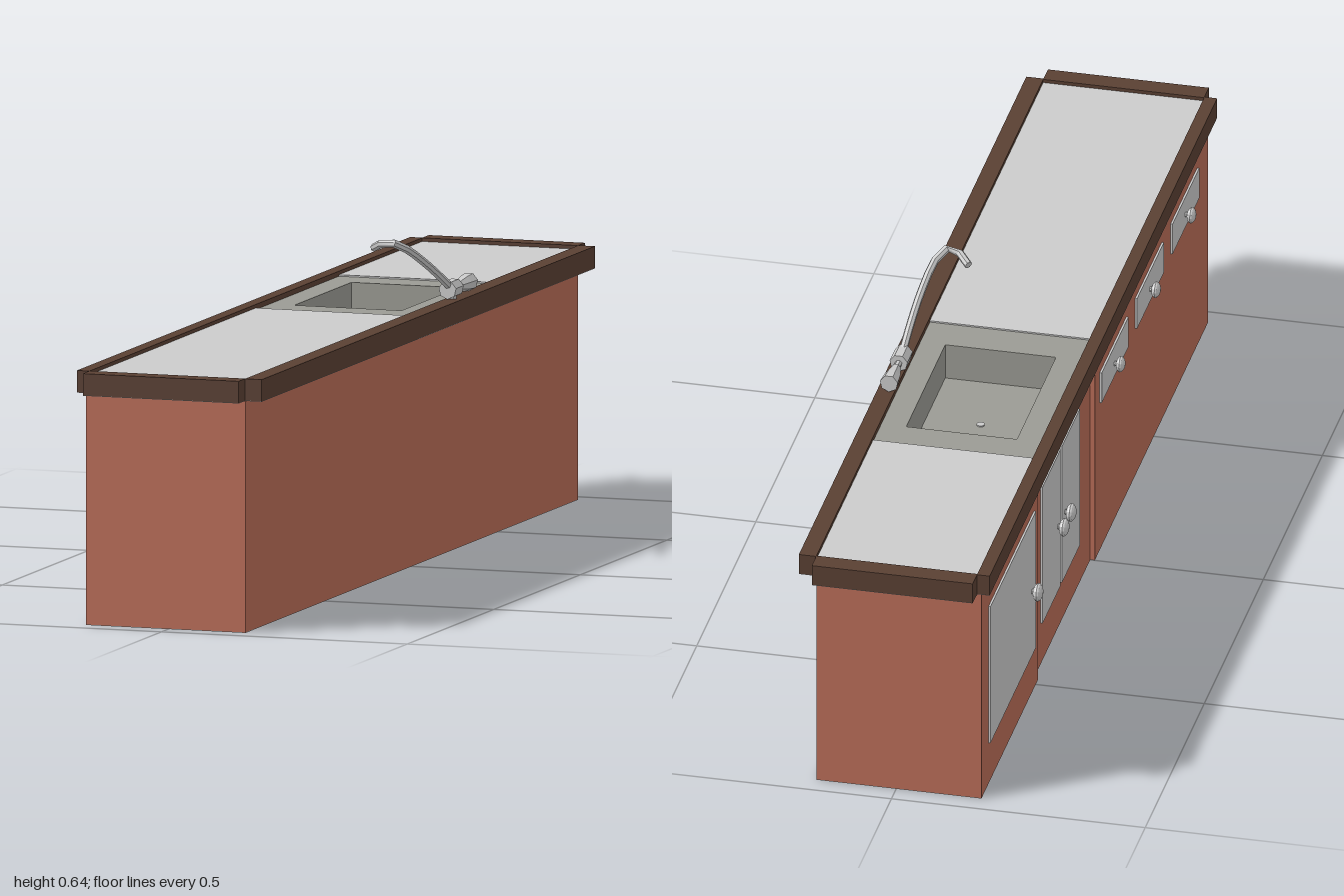
import * as THREE from 'three';

const material = (color) => new THREE.MeshStandardMaterial({ color, flatShading: true });

export function createModel() {
  const model = new THREE.Group();
  const grey = material(0xcccccc);
  const wood = material(0xba6d58);
  const trim = material(0x5a4033);
  const steel = material(0x9b9b94);

  const add = (name, geometry, mat, parent = model) => {
    const mesh = new THREE.Mesh(geometry, mat);
    mesh.name = name;
    parent.add(mesh);
    return mesh;
  };

  // Box given by its limits on each axis
  const box = (name, [x0, x1], [y0, y1], [z0, z1], mat) => {
    const mesh = add(name, new THREE.BoxGeometry(x1 - x0, y1 - y0, z1 - z0), mat);
    mesh.position.set((x0 + x1) / 2, (y0 + y1) / 2, (z0 + z1) / 2);
    return mesh;
  };

  // Upright block with a rectangular opening through it
  const frame = (name, [x0, x1], [y0, y1], [z0, z1], [hx0, hx1], [hz0, hz1], mat) => {
    const rectangle = (Type, a, b, c, d) => {
      const path = new Type();
      path.moveTo(a, -d);
      path.lineTo(b, -d);
      path.lineTo(b, -c);
      path.lineTo(a, -c);
      path.closePath();
      return path;
    };
    const shape = rectangle(THREE.Shape, x0, x1, z0, z1);
    shape.holes.push(rectangle(THREE.Path, hx0, hx1, hz0, hz1));
    const geometry = new THREE.ExtrudeGeometry(shape, { depth: y1 - y0, bevelEnabled: false });
    geometry.rotateX(-Math.PI / 2);
    const mesh = add(name, geometry, mat);
    mesh.position.y = y0;
    return mesh;
  };

  // Cabinet: two full sections and a slightly recessed one under the sink
  const front = -0.168, back = 0.157, recess = 0.009;
  const sinkZ = [-0.48, 0];
  box('rearCabinet', [front, back], [0.001, 0.45], [-0.96, -0.48], wood);
  box('frontCabinet', [front, back], [0.001, 0.45], [0, 0.96], wood);
  frame('sinkCabinet', [front + recess, back], [0.001, 0.45], sinkZ, [-0.115, 0.115], [-0.415, -0.075], wood);
  box('rearCabinetBase', [front, back], [0, 0.001], [-0.96, -0.48], grey);
  box('sinkCabinetBase', [front + recess, back], [0, 0.001], sinkZ, grey);
  box('frontCabinetBase', [front, back], [0, 0.001], [0, 0.96], grey);

  // Worktop with a sunken surface inside the rim
  box('rearWorktop', [-0.16, 0.157], [0.45, 0.486], [-0.96, -0.48], grey);
  box('frontWorktop', [-0.16, 0.157], [0.45, 0.486], [0, 0.96], grey);

  // Rim strips with pale undersides
  const rim = (name, x, z) => {
    box(name, x, [0.451, 0.493], z, trim);
    box(name + 'Underside', x, [0.45, 0.451], z, grey);
  };
  rim('doorSideRim', [-0.185, -0.16], [-0.963, 0.963]);
  rim('wallSideRim', [0.157, 0.191], [-0.963, 0.963]);
  rim('rearRim', [-0.16, 0.157], [-1, -0.96]);
  rim('frontRim', [-0.16, 0.157], [0.96, 1]);

  // Sink plate, basin walls, floor and drain
  const basinX = [-0.11, 0.108], basinZ = [-0.41, -0.08];
  frame('sinkPlate', [-0.16, 0.157], [0.45, 0.483], sinkZ, basinX, basinZ, steel);
  frame('basinWalls', [-0.114, 0.112], [0.41, 0.45], [-0.414, -0.076], basinX, basinZ, steel);
  box('basinFloor', [-0.114, 0.112], [0.405, 0.41], [-0.414, -0.076], steel);
  add('drain', new THREE.CylinderGeometry(0.008, 0.008, 0.003, 10), grey).position.set(0, 0.411, -0.245);

  // Round knob on a short stem, standing out towards -x
  const knob = (name, x, y, z, radius) => {
    const group = new THREE.Group();
    group.name = name;
    group.position.set(x, y, z);
    const stem = add('stem', new THREE.CylinderGeometry(0.005, 0.005, 0.012, 8), grey, group);
    stem.rotation.z = Math.PI / 2;
    stem.position.x = -0.005;
    const head = add('head', new THREE.SphereGeometry(radius, 12, 8), grey, group);
    head.rotation.z = Math.PI / 2;
    head.scale.y = 0.55;
    head.position.x = -0.013;
    model.add(group);
  };

  // Doors: z limits, knob z, face position
  [
    ['largeDoor', [-0.9, -0.515], -0.55, front],
    ['sinkDoorRear', [-0.42, -0.267], -0.29, front + recess],
    ['sinkDoorFront', [-0.256, -0.105], -0.23, front + recess],
  ].forEach(([name, z, knobZ, x]) => {
    box(name, [x - 0.004, x + 0.002], [0.09, 0.39], z, grey);
    knob(name + 'Knob', x - 0.003, 0.232, knobZ, 0.018);
  });

  // Drawers
  [0.155, 0.455, 0.755].forEach((z, i) => {
    box('drawer' + (i + 1), [front - 0.004, front + 0.002], [0.324, 0.39], [z - 0.113, z + 0.113], grey);
    knob('drawerKnob' + (i + 1), front - 0.003, 0.352, z - 0.005, 0.016);
  });

  // Faucet: swept spout leaning along the worktop
  const faucet = new THREE.Group();
  faucet.name = 'faucet';
  model.add(faucet);
  const path = new THREE.CatmullRomCurve3([
    [0.167, 0.513, -0.2], [0.165, 0.55, -0.125], [0.159, 0.587, -0.05], [0.145, 0.62, 0.015],
    [0.122, 0.632, 0.038], [0.082, 0.615, 0.005],
  ].map((p) => new THREE.Vector3(...p)));
  add('spout', new THREE.TubeGeometry(path, 10, 0.008, 7), grey, faucet);
  const tip = add('spoutTip', new THREE.CircleGeometry(0.008, 7), grey, faucet);
  tip.position.copy(path.getPoint(1));
  tip.lookAt(path.getPoint(1).add(path.getTangent(1)));

  // Faucet body and handle: faceted turnings lying along z
  const turning = (name, r0, r1, z0, z1) => {
    const mesh = add(name, new THREE.CylinderGeometry(r1, r0, z1 - z0, 7), grey, faucet);
    mesh.rotation.x = Math.PI / 2;
    mesh.position.set(0.167, 0.512, (z0 + z1) / 2);
  };
  turning('faucetBody', 0.018, 0.018, -0.222, -0.178);
  turning('faucetRod', 0.007, 0.007, -0.26, -0.22);
  turning('handleNeck', 0.016, 0.01, -0.275, -0.242);
  turning('handle', 0.018, 0.016, -0.304, -0.275);
  const foot = add('faucetFoot', new THREE.CylinderGeometry(0.011, 0.011, 0.012, 8), grey, faucet);
  foot.position.set(0.167, 0.497, -0.2);

  return model;
}
